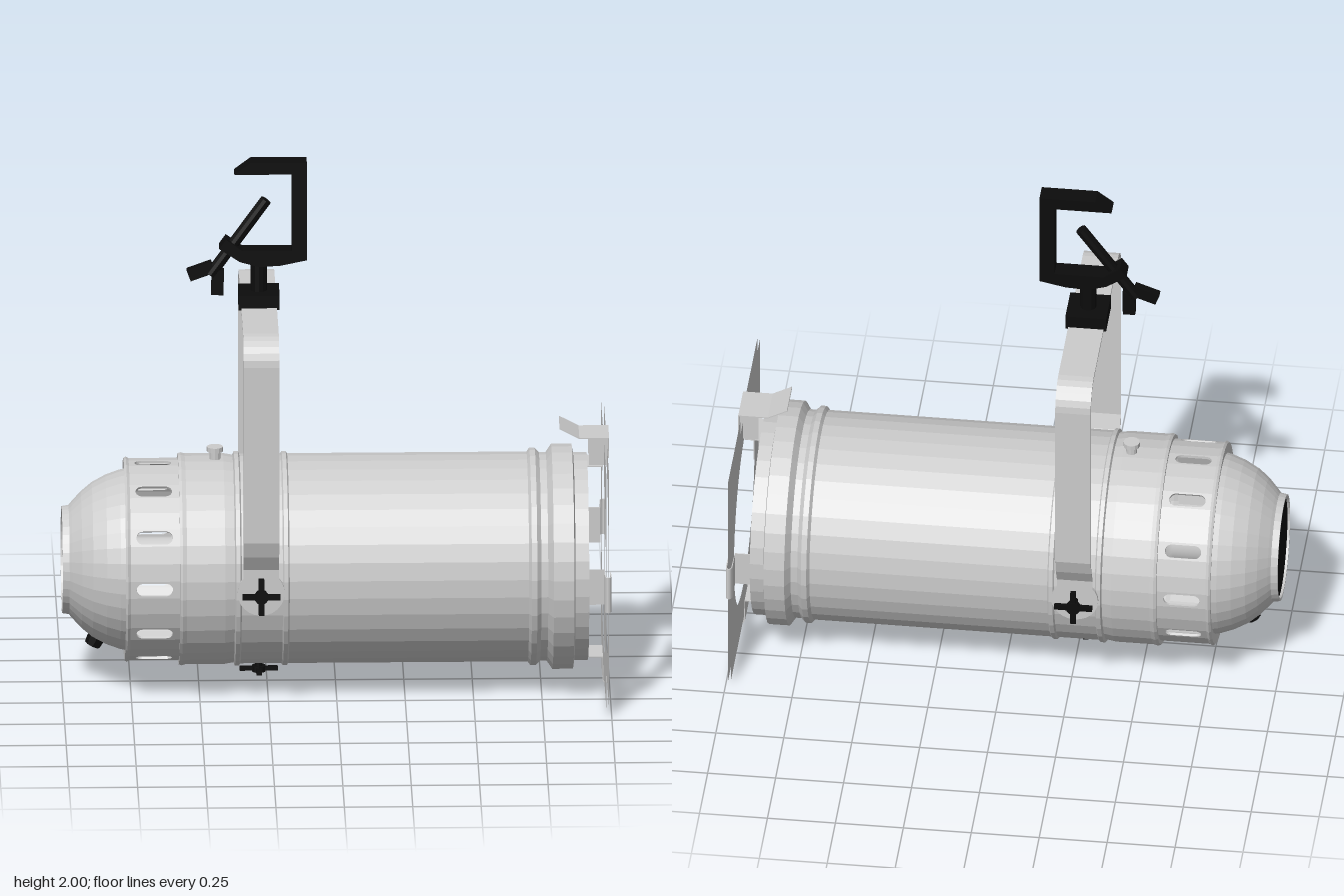
import * as THREE from 'three';
import { mergeGeometries } from 'three/addons/utils/BufferGeometryUtils.js';

const AXIS_Y = 0.47, YOKE_X = -0.28, SEG = 36;
const grey = new THREE.MeshStandardMaterial({ color: 0xcccccc, flatShading: true, side: THREE.DoubleSide });
const smooth = new THREE.MeshStandardMaterial({ color: 0xcccccc, side: THREE.DoubleSide });
const black = new THREE.MeshStandardMaterial({ color: 0x0c0c0c, flatShading: true, side: THREE.DoubleSide });

function add(parent, name, geometry, material = grey) {
  const mesh = new THREE.Mesh(geometry, material);
  mesh.name = name;
  parent.add(mesh);
  return mesh;
}

// Surface of revolution around the x axis from [x, radius] pairs
function turned(profile) {
  const pts = profile.map(([x, r]) => new THREE.Vector2(r, x));
  return new THREE.LatheGeometry(pts, SEG, Math.PI / SEG).rotateZ(-Math.PI / 2);
}

function polygon(points) {
  return new THREE.Shape(points.map(([x, y]) => new THREE.Vector2(x, y)));
}

// Extrusion centred on z = 0
function slab(shape, depth) {
  return new THREE.ExtrudeGeometry(shape, { depth, bevelEnabled: false, curveSegments: 6 }).translate(0, 0, -depth / 2);
}

// Bent metal strip: a path in the xy plane, widened along z
function strip(path, width, thick) {
  const inner = path.map(([x, y], i) => {
    const a = path[Math.max(i - 1, 0)], b = path[Math.min(i + 1, path.length - 1)];
    const dx = b[0] - a[0], dy = b[1] - a[1], l = Math.hypot(dx, dy);
    return [x + (dy / l) * thick, y - (dx / l) * thick];
  });
  return slab(polygon([...path, ...inner.reverse()]), width);
}

// Four-armed hand screw pointing along +z
function handScrew(stem) {
  const parts = [new THREE.CylinderGeometry(0.014, 0.014, stem, 10).rotateX(Math.PI / 2).translate(0, 0, stem / 2)];
  parts.push(new THREE.CylinderGeometry(0.026, 0.026, 0.022, 10).rotateX(Math.PI / 2).translate(0, 0, stem));
  for (let i = 0; i < 4; i++) {
    parts.push(new THREE.BoxGeometry(0.065, 0.02, 0.014).translate(0.037, 0, stem).rotateZ(i * Math.PI / 2));
  }
  return mergeGeometries(parts);
}

function buildHousing() {
  const g = new THREE.Group();
  g.name = 'housing';

  // Long barrel with rolled beads and flared front collar
  add(g, 'barrel', turned([
    [-0.575, 0.368], [-0.575, 0.386], [-0.565, 0.39], [-0.55, 0.386],
    [-0.41, 0.386], [-0.375, 0.38], [-0.37, 0.392], [-0.355, 0.392], [-0.35, 0.384],
    [-0.2, 0.384], [-0.195, 0.392], [-0.18, 0.392], [-0.175, 0.384],
    [0.7, 0.384], [0.71, 0.398], [0.73, 0.398], [0.745, 0.382], [0.77, 0.382],
    [0.79, 0.412], [0.865, 0.412], [0.87, 0.38], [0.92, 0.38], [0.92, 0.362], [0.86, 0.362],
  ]));
  for (const x of [0.72, 0.79]) {
    add(g, 'innerRing', turned([[x, 0.383], [x, 0.358], [x + 0.01, 0.358], [x + 0.01, 0.383]]));
  }

  // Vent ring: flat panels, every third with a rounded slot
  const apothem = 0.37 * Math.cos(Math.PI / SEG), half = 0.37 * Math.sin(Math.PI / SEG);
  const panels = [];
  for (let i = 0; i < SEG; i++) {
    const s = polygon([[-0.765, -half], [-0.57, -half], [-0.57, half], [-0.765, half]]);
    if (i % 3 === 0) {
      const hole = new THREE.Path();
      hole.absarc(-0.625, 0, 0.024, -Math.PI / 2, Math.PI / 2);
      hole.absarc(-0.71, 0, 0.024, Math.PI / 2, Math.PI * 1.5);
      s.holes.push(hole);
    }
    panels.push(slab(s, 0.01).translate(0, 0, apothem - 0.005).rotateX(i * 2 * Math.PI / SEG));
  }
  add(g, 'ventRing', mergeGeometries(panels));

  // Domed rear cap
  add(g, 'rearCap', turned([
    [-0.985, 0.185], [-1, 0.187], [-1, 0.196], [-0.975, 0.2], [-0.965, 0.212], [-0.93, 0.25], [-0.89, 0.283],
    [-0.84, 0.31], [-0.79, 0.328], [-0.77, 0.332], [-0.773, 0.37], [-0.765, 0.376], [-0.755, 0.37],
  ]));
  add(g, 'rearPlug', new THREE.CylinderGeometry(0.19, 0.19, 0.012, SEG).rotateZ(Math.PI / 2).translate(-0.985, 0, 0), black);
  const knob = add(g, 'capKnob', new THREE.CylinderGeometry(0.036, 0.03, 0.06, 8), black);
  knob.position.set(-0.875, -0.3, 0);
  knob.rotation.z = -0.45;

  // Lamp inside the barrel
  add(g, 'lamp', turned([
    [-0.8, 0], [-0.8, 0.08], [-0.6, 0.08], [-0.56, 0.16], [-0.5, 0.26], [-0.4, 0.345], [-0.35, 0.365], [-0.33, 0.365],
  ]), smooth);
  const lens = [];
  for (let i = 0; i <= 8; i++) {
    const a = (i / 8) * Math.PI / 2;
    lens.push([-0.33 + 0.1 * Math.sin(a), 0.365 * Math.cos(a)]);
  }
  add(g, 'lampLens', turned(lens), smooth);

  // Latch button on top
  add(g, 'latchStem', new THREE.CylinderGeometry(0.02, 0.02, 0.04, 12).translate(-0.44, 0.395, 0));
  add(g, 'latchHead', new THREE.CylinderGeometry(0.03, 0.03, 0.018, 12).translate(-0.44, 0.422, 0));

  // Lower hand screw
  add(g, 'lowerScrew', handScrew(0.045).rotateX(Math.PI / 2).translate(YOKE_X, -0.377, 0), black);
  return g;
}

function buildFrontFrame() {
  const g = new THREE.Group();
  g.name = 'frontFrame';

  // Square filter frame made of two thin sheets
  const s = polygon([[-0.45, -0.45], [0.45, -0.45], [0.45, 0.45], [-0.45, 0.45]]);
  s.holes.push(new THREE.Path().absarc(0, 0, 0.355, 0, Math.PI * 2));
  for (const x of [0.981, 0.991]) {
    add(g, 'frameSheet', new THREE.ShapeGeometry(s, 24).rotateY(Math.PI / 2).translate(x, 0, 0));
  }

  // Hooked clips at both sides and the bottom
  const hook = [[0.78, 0.368], [0.975, 0.368], [0.975, 0.455], [0.98, 0.465], [0.987, 0.469], [0.995, 0.465], [0.999, 0.455], [0.999, 0.4]];
  for (const turn of [1, 2, 3]) {
    const clip = new THREE.Group();
    clip.name = 'frameClip';
    clip.rotation.x = turn * Math.PI / 2;
    add(clip, 'clipStrip', strip(hook, 0.135, 0.004));
    for (const z of [-0.035, 0.035]) {
      add(clip, 'clipRivet', new THREE.CylinderGeometry(0.011, 0.011, 0.012, 8).translate(0.83, 0.362, z));
    }
    g.add(clip);
  }

  // Sprung top catch with a raised lip
  add(g, 'topClip', strip([[0.78, 0.368], [0.975, 0.368], [0.975, 0.45]], 0.135, 0.004));
  add(g, 'topCatch', strip([[0.82, 0.515], [0.89, 0.478], [0.999, 0.478], [0.999, 0.4]], 0.15, 0.004));
  for (const z of [-0.07, 0.07]) {
    add(g, 'catchCheek', new THREE.BoxGeometry(0.07, 0.105, 0.004).translate(0.96, 0.425, z));
  }
  return g;
}

function buildYoke() {
  const g = new THREE.Group();
  g.name = 'yoke';

  // One half of the bracket outline, then mirrored
  const halfPath = [[-0.415, 0.47], [-0.415, 0.56], [-0.45, 0.62], [-0.47, 0.68]];
  for (let i = 0; i <= 6; i++) {
    const a = (i / 6) * Math.PI / 2;
    halfPath.push([-0.37 - 0.1 * Math.cos(a), 1.355 + 0.1 * Math.sin(a)]);
  }
  const path = [...halfPath, ...halfPath.map(([z, y]) => [-z, y]).reverse()];
  add(g, 'yokeStrap', strip(path, 0.13, 0.01).rotateY(Math.PI / 2).translate(YOKE_X, 0, 0));

  for (const side of [1, -1]) {
    add(g, 'pivotPlate', new THREE.CylinderGeometry(0.086, 0.086, 0.012, 24).rotateX(Math.PI / 2).translate(YOKE_X, AXIS_Y, side * 0.409));
    add(g, 'pivotBoss', new THREE.CylinderGeometry(0.03, 0.03, 0.04, 12).rotateX(Math.PI / 2).translate(YOKE_X, AXIS_Y, side * 0.39));
    const screw = add(g, 'pivotScrew', handScrew(0.045), black);
    screw.position.set(YOKE_X, AXIS_Y, side * 0.414);
    if (side < 0) screw.rotation.y = Math.PI;
  }
  for (const z of [-0.2, 0, 0.2]) {
    add(g, 'yokeGrommet', new THREE.CylinderGeometry(0.03, 0.03, 0.014, 12).translate(YOKE_X, 1.444, z));
  }
  return g;
}

function buildClamp() {
  const g = new THREE.Group();
  g.name = 'clamp';
  add(g, 'clampBase', new THREE.BoxGeometry(0.15, 0.055, 0.15).translate(YOKE_X, 1.475, 0), black);
  add(g, 'clampStem', new THREE.CylinderGeometry(0.03, 0.03, 0.13, 12).translate(YOKE_X, 1.56, 0), black);
  add(g, 'clampHook', slab(polygon([
    [-0.37, 1.955], [-0.31, 2], [-0.105, 2], [-0.105, 1.625], [-0.2, 1.605], [-0.28, 1.6],
    [-0.35, 1.62], [-0.425, 1.67], [-0.4, 1.705], [-0.34, 1.662], [-0.16, 1.662], [-0.16, 1.955],
  ]), 0.07), black);

  // Slanted clamping screw with wings
  const screw = new THREE.Group();
  screw.name = 'clampScrew';
  screw.position.set(-0.355, 1.705, 0);
  screw.rotation.z = -0.62;
  add(screw, 'screwShaft', new THREE.CylinderGeometry(0.021, 0.021, 0.35, 10), black);
  for (const side of [1, -1]) {
    const wing = add(screw, 'screwWing', new THREE.BoxGeometry(0.045, 0.095, 0.03).translate(0, -0.04, 0), black);
    wing.position.set(side * 0.015, -0.15, 0);
    wing.rotation.z = side * 0.6;
  }
  g.add(screw);
  return g;
}

export function createModel() {
  const model = new THREE.Group();
  model.name = 'stageLight';
  const housing = buildHousing(), frame = buildFrontFrame();
  housing.position.y = frame.position.y = AXIS_Y;
  model.add(housing, frame, buildYoke(), buildClamp());
  return model;
}
